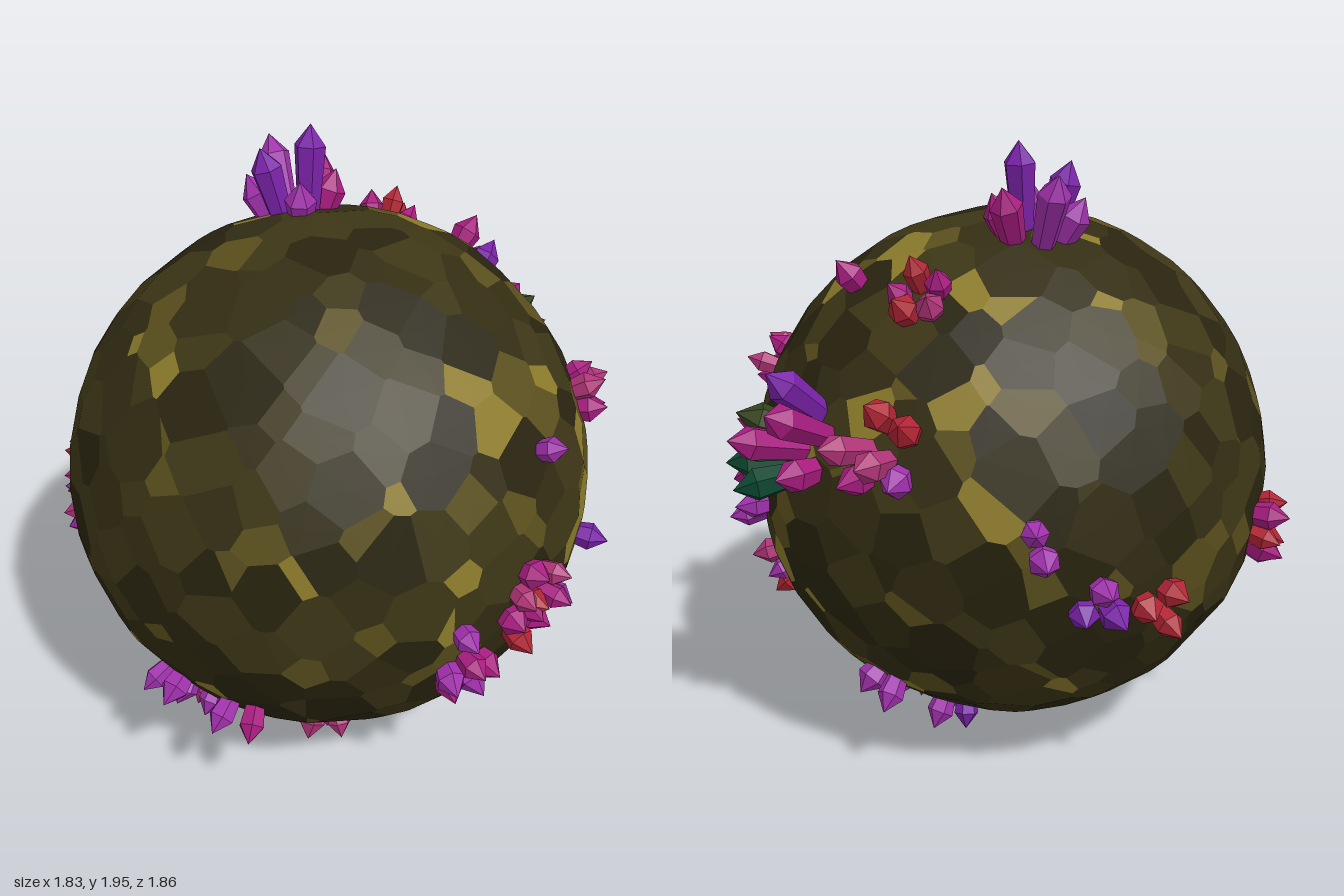
import * as THREE from 'three';
import { ConvexGeometry } from 'three/addons/geometries/ConvexGeometry.js';

const V = (x, y, z) => new THREE.Vector3(x, y, z);
const CENTER = V(-0.04, 0.94, 0.105);
const RADIUS = 0.83;

const PURPLE = 0x7a22a8, LILAC = 0xa030ac, MAGENTA = 0xa81c80, PINK = 0xb03478;
const RED = 0xb02434, GREEN = 0x0c4630, OLIVE = 0x34421c;

// Small seeded generator
let seed = 7;
function rand() {
  seed = (seed * 16807) % 2147483647;
  return seed / 2147483647;
}

// Small clusters: name, centre of the tips, number of crystals, colours
const CLUSTERS = [
  ['leftUpperCrystal', [0.78, 1.3, 0.06], 1, [LILAC]],
  ['leftBackUpperCrystals', [0.66, 1.26, -0.41], 5, [MAGENTA, PINK]],
  ['leftMiddleCrystals', [0.88, 0.89, 0.19], 5, [MAGENTA, PINK]],
  ['leftRedCrystals', [0.86, 0.78, 0.22], 4, [RED, MAGENTA]],
  ['leftFrontCrystal', [0.73, 0.84, 0.43], 1, [LILAC]],
  ['leftLowerCrystals', [0.74, 0.65, 0.4], 5, [MAGENTA, LILAC]],
  ['leftCentreCrystal', [0.8, 0.71, -0.03], 1, [LILAC]],
  ['leftBackCrystal', [0.79, 0.83, -0.22], 1, [PURPLE]],
  ['backLowerLeftCrystals', [0.48, 0.55, -0.52], 5, [PINK, RED, LILAC]],
  ['backLowCrystal', [-0.14, 0.35, -0.54], 2, [LILAC]],
  ['backSideCrystals', [0.27, 0.88, -0.71], 2, [LILAC]],
  ['upperBackRightCrystals', [-0.22, 1.64, -0.45], 5, [MAGENTA, RED, PINK]],
  ['upperBackCrystal', [0.1, 1.63, -0.45], 1, [MAGENTA]],
  ['rightBackUpperCrystals', [-0.76, 0.99, -0.45], 2, [LILAC]],
  ['rightBackCrystals', [-0.86, 0.77, -0.28], 3, [PURPLE, LILAC]],
  ['rightRedCrystals', [-0.91, 0.73, -0.07], 3, [RED]],
  ['rightFrontRedCrystals', [-0.84, 0.81, 0.53], 6, [RED, MAGENTA]],
  ['rightFrontCrystals', [-0.78, 0.72, 0.63], 4, [LILAC, PINK]],
  ['frontLowCrystals', [-0.07, 0.47, 0.84], 3, [LILAC]],
  ['frontLowLeftCrystals', [0.17, 0.44, 0.8], 2, [MAGENTA, LILAC]],
  ['frontBottomCrystals', [-0.15, 0.25, 0.66], 3, [LILAC, PINK]],
  ['bottomFrontCrystals', [0.19, 0.13, 0.41], 3, [PINK, MAGENTA]],
  ['bottomCrystals', [0.18, 0.1, -0.2], 6, [PINK, LILAC]],
  ['bottomBackCrystals', [-0.12, 0.13, -0.24], 3, [PURPLE, LILAC]],
];

// Large clusters: root centre, then tip and colour of each crystal
const TOP = [[-0.28, 1.74, -0.02],
  [[-0.22, 2.0, -0.04], PURPLE], [[-0.42, 1.92, -0.07], LILAC], [[-0.31, 1.94, 0.09], PURPLE],
  [[-0.28, 1.88, -0.16], MAGENTA], [[-0.17, 1.86, 0.07], LILAC], [[-0.38, 1.84, 0.08], LILAC],
  [[-0.18, 1.85, -0.11], MAGENTA]];
const BACK = [[-0.05, 1.15, -0.7],
  [[-0.05, 1.41, -0.83], PURPLE], [[-0.16, 1.33, -0.91], MAGENTA], [[0.01, 1.22, -0.93], MAGENTA],
  [[0.08, 1.18, -0.87], GREEN], [[0.2, 1.08, -0.83], GREEN], [[0.1, 1.03, -0.87], GREEN],
  [[0.14, 1.25, -0.82], OLIVE], [[0.3, 0.98, -0.75], MAGENTA], [[0.22, 1.2, -0.77], MAGENTA],
  [[-0.1, 1.11, -0.85], MAGENTA]];
const BACK_SIDE = [[-0.34, 1.22, -0.6],
  [[-0.27, 1.24, -0.82], PINK], [[-0.38, 1.2, -0.78], PINK], [[-0.31, 1.35, -0.69], RED],
  [[-0.42, 1.31, -0.66], RED], [[-0.42, 1.13, -0.7], LILAC], [[-0.28, 1.12, -0.77], MAGENTA]];

const outward = p => p.clone().sub(CENTER).normalize();

// Six-sided crystal that widens from its root and ends in a point
function crystal(root, tip, radius, color) {
  const axis = tip.clone().sub(root);
  const len = axis.length();
  const shoulder = Math.max(len * 0.6, len - radius * 1.3);
  const profile = [[0, 0], [radius * 0.65, 0], [radius, shoulder], [0, len]]
    .map(([r, y]) => new THREE.Vector2(r, y));
  const mesh = new THREE.Mesh(new THREE.LatheGeometry(profile, 6, rand() * 6),
    new THREE.MeshStandardMaterial({ color, flatShading: true }));
  mesh.name = 'crystal';
  mesh.position.copy(root);
  mesh.quaternion.setFromUnitVectors(V(0, 1, 0), axis.normalize());
  return mesh;
}

// Crystals fanning out from a shared root to the given tips
function largeCluster(name, [rootCentre, ...tips], radius) {
  const group = new THREE.Group();
  group.name = name;
  const c = outward(V(...rootCentre));
  for (const [t, color] of tips) {
    const tip = V(...t);
    const root = c.clone().lerp(outward(tip), 0.6).normalize()
      .multiplyScalar(RADIUS - 0.05).add(CENTER);
    group.add(crystal(root, tip, radius, color));
  }
  return group;
}

// One crystal, or a ring of crystals splayed around the outward direction
function smallCluster(name, pos, count, colors) {
  const group = new THREE.Group();
  group.name = name;
  const n = outward(V(...pos));
  const side = V(0.3, 1, 0.2).cross(n).normalize();
  const up = n.clone().cross(side);
  const start = rand() * 6;
  for (let i = 0; i < count; i++) {
    const angle = start + i * Math.PI * 2 / count;
    const spread = count === 1 ? 0 : 0.034 + count * 0.006;
    const off = side.clone().multiplyScalar(Math.cos(angle) * spread)
      .addScaledVector(up, Math.sin(angle) * spread);
    const height = RADIUS + 0.07 + rand() * 0.04;
    const tip = n.clone().multiplyScalar(height).addScaledVector(off, 1.25).add(CENTER);
    const root = n.clone().multiplyScalar(RADIUS - 0.05).addScaledVector(off, 0.7).add(CENTER);
    group.add(crystal(root, tip, 0.037 + rand() * 0.012, colors[i % colors.length]));
  }
  return group;
}

// Faceted body: many cutting planes around a ball, each leaving one flat tile.
// The hull of the planes' polar points gives the corners of every tile.
function createBody() {
  const shades = [0x29240f, 0x332d13, 0x3d3616, 0x5a4f1d, 0x8c7b2b];
  const hubs = [...CLUSTERS.map(c => c[1]), TOP[0], BACK[0], BACK_SIDE[0]].map(p => outward(V(...p)));
  const tiles = new Map();
  const key = p => [p.x, p.y, p.z].map(a => a.toFixed(4)).join();
  const count = 480;
  const polar = [];
  for (let i = 0; i < count; i++) {
    const y = 1 - (2 * i + 1) / count;
    const r = Math.sqrt(1 - y * y), a = i * 2.39996;
    const n = V(r * Math.cos(a), y, r * Math.sin(a))
      .add(V(rand() - 0.5, rand() - 0.5, rand() - 0.5).multiplyScalar(0.085)).normalize();
    const near = hubs.some(h => h.distanceTo(n) < 0.24);
    const pick = rand();
    const shade = pick < (near ? 0.22 : 0.05) ? 4 : pick < (near ? 0.5 : 0.2) ? 3 : Math.floor(rand() * 3);
    // Light tiles stand further out, which makes them smaller
    const h = RADIUS - 0.004 + (shade > 2 ? 0.004 : 0) + (rand() - 0.5) * 0.007;
    const p = n.clone().divideScalar(h);
    polar.push(p);
    tiles.set(key(p), { n, shade, corners: [] });
  }

  const pos = new ConvexGeometry(polar).getAttribute('position');
  const tri = [V(), V(), V()];
  const plane = new THREE.Plane();
  for (let i = 0; i < pos.count; i += 3) {
    tri.forEach((v, k) => v.fromBufferAttribute(pos, i + k));
    plane.setFromCoplanarPoints(...tri);
    const corner = plane.normal.clone().divideScalar(-plane.constant);
    tri.forEach(v => tiles.get(key(v))?.corners.push(corner));
  }

  const verts = shades.map(() => []);
  for (const { n, shade, corners } of tiles.values()) {
    if (corners.length < 3) continue;
    const mid = corners.reduce((s, c) => s.add(c), V(0, 0, 0)).divideScalar(corners.length);
    const u = V(0.31, 0.87, 0.39).cross(n).normalize();
    const w = n.clone().cross(u);
    const angle = c => Math.atan2(c.clone().sub(mid).dot(w), c.clone().sub(mid).dot(u));
    corners.sort((a, b) => angle(a) - angle(b));
    corners.forEach((c, i) => {
      for (const p of [mid, c, corners[(i + 1) % corners.length]]) verts[shade].push(p.x, p.y, p.z);
    });
  }

  const body = new THREE.Group();
  body.name = 'rockBody';
  body.position.copy(CENTER);
  shades.forEach((color, i) => {
    const geo = new THREE.BufferGeometry();
    geo.setAttribute('position', new THREE.Float32BufferAttribute(verts[i], 3));
    geo.computeVertexNormals();
    const mesh = new THREE.Mesh(geo, new THREE.MeshStandardMaterial({ color, flatShading: true }));
    mesh.name = 'rockTilesShade' + (i + 1);
    body.add(mesh);
  });
  return body;
}

export function createModel() {
  seed = 7;
  const model = new THREE.Group();
  model.name = 'crystalPlanetoid';
  model.add(createBody());
  model.add(largeCluster('topCrystals', TOP, 0.05));
  model.add(largeCluster('backCrystals', BACK, 0.052));
  model.add(largeCluster('backSideCrystals', BACK_SIDE, 0.048));
  for (const [name, pos, count, colors] of CLUSTERS) model.add(smallCluster(name, pos, count, colors));
  return model;
}
